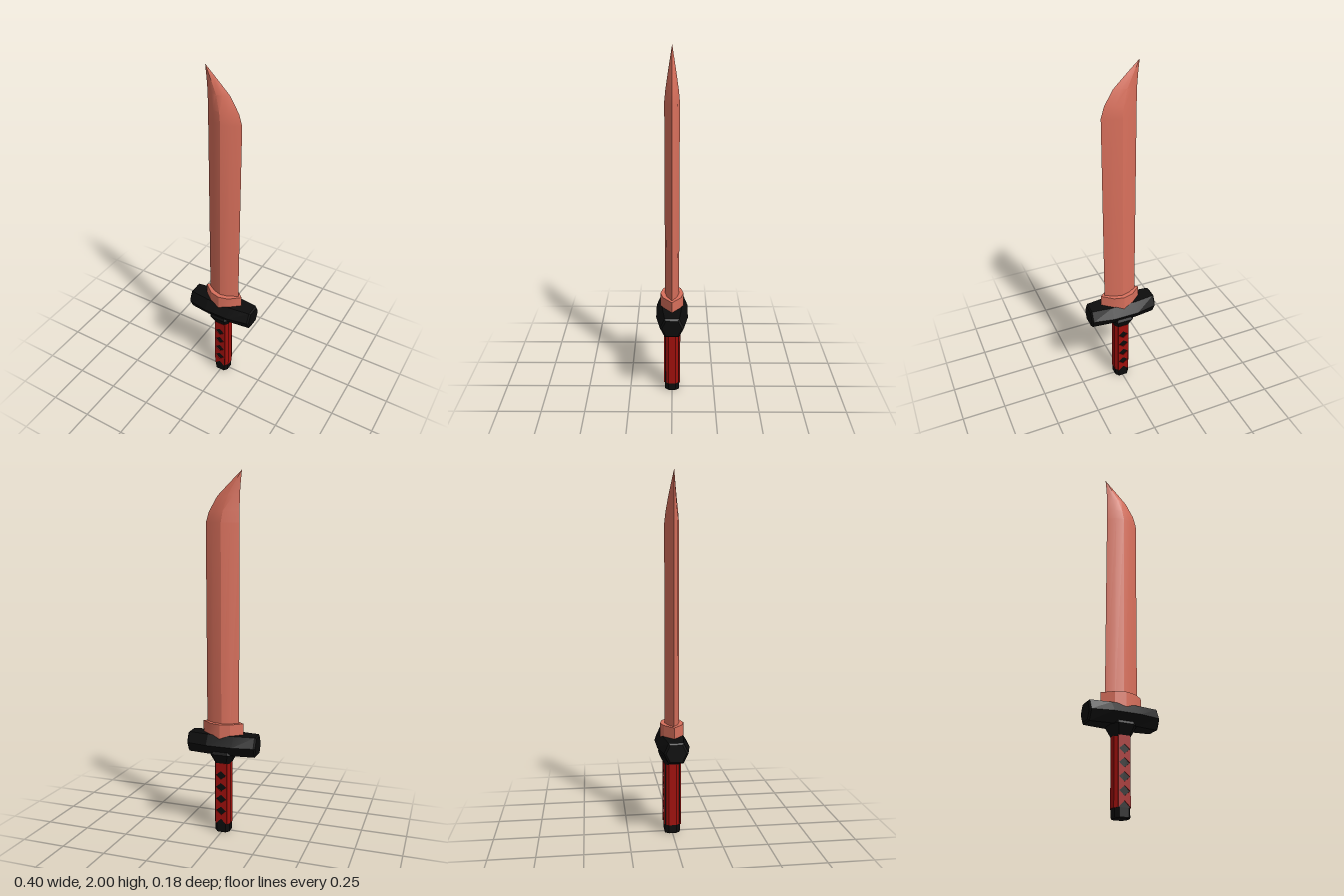
import * as THREE from 'three';
import { toCreasedNormals } from 'three/addons/utils/BufferGeometryUtils.js';

const steel = new THREE.MeshStandardMaterial({ color: 0xd9705c });
const black = new THREE.MeshStandardMaterial({ color: 0x0c0c0c });
const red = new THREE.MeshStandardMaterial({ color: 0xa0100c });

// Skin a list of convex rings (equal point counts) into a closed, outward-facing solid
function loft(rings, crease = 0.1) {
  const tris = [];
  const n = rings[0].length;
  for (let r = 0; r < rings.length - 1; r++) {
    for (let i = 0; i < n; i++) {
      const j = (i + 1) % n;
      const [a, b, c, d] = [rings[r][i], rings[r][j], rings[r + 1][j], rings[r + 1][i]];
      tris.push([a, b, c], [a, c, d]);
    }
  }
  const first = rings[0], last = rings[rings.length - 1];
  for (let i = 1; i < n - 1; i++) {
    tris.push([first[0], first[i + 1], first[i]], [last[0], last[i], last[i + 1]]);
  }
  const volume = tris.reduce((sum, [a, b, c]) => sum + a.dot(b.clone().cross(c)), 0);
  const points = tris.flatMap(([a, b, c]) => (volume < 0 ? [a, c, b] : [a, b, c]));
  const geometry = new THREE.BufferGeometry().setFromPoints(points);
  geometry.computeVertexNormals();
  return toCreasedNormals(geometry, crease);
}

// Mirror a half outline [x, z >= 0], running from one sharp edge to the other
function lens(half, y) {
  const back = half.slice(1, -1).reverse().map(([x, z]) => [x, -z]);
  return [...half, ...back].map(([x, z]) => new THREE.Vector3(x, y, z));
}

// Chamfered rectangle in the xz plane
function octagon(w, d, y) {
  const p = [[w, d * 0.5], [w * 0.62, d], [-w * 0.62, d], [-w, d * 0.5],
    [-w, -d * 0.5], [-w * 0.62, -d], [w * 0.62, -d], [w, -d * 0.5]];
  return p.map(([x, z]) => new THREE.Vector3(x, y, z));
}

export function createModel() {
  const group = new THREE.Group();
  const add = (name, geometry, material) => {
    const mesh = new THREE.Mesh(geometry, material);
    mesh.name = name;
    group.add(mesh);
    return mesh;
  };

  // Blade: [height, back edge x, cutting edge x, half thickness]
  const stations = [
    [0.56, -0.09, 0.098, 0.04], [1.73, -0.088, 0.103, 0.04], [1.79, -0.088, 0.085, 0.034],
    [1.87, -0.089, 0.037, 0.022], [1.93, -0.093, -0.025, 0.012], [2.0, -0.1, -0.0995, 0.0003],
  ];
  add('blade', loft(stations.map(([y, l, r, t]) => {
    const at = (u) => l + (r - l) * u;
    return lens([[l, 0], [at(0.24), t * 0.69], [at(0.48), t], [at(0.74), t * 0.72], [r, 0]], y);
  }), 0.45), steel);

  // Collar at the foot of the blade
  const collar = [[-0.115, 0], [-0.055, 0.051], [0.003, 0.066], [0.06, 0.051], [0.121, 0]];
  add('collar', loft([lens(collar, 0.55), lens(collar, 0.637)], 0.45), steel);

  // Guard: hexagonal bar, tapering to bevelled ends
  const guard = [[-0.2, 0.055, 0.85], [-0.192, 0.067, 1], [-0.075, 0.09, 1],
    [0.075, 0.09, 1], [0.192, 0.067, 1], [0.2, 0.055, 0.85]];
  const hex = [[1, 0], [0.6, 1], [-0.6, 1], [-1, 0], [-0.6, -1], [0.6, -1]];
  add('guard', loft(guard.map(([x, d, h]) =>
    hex.map(([z, y]) => new THREE.Vector3(x, 0.518 + y * h * 0.056, z * d)))), black);

  // Neck flaring from the grip into the guard
  add('neck', loft([octagon(0.044, 0.044, 0.405), octagon(0.074, 0.074, 0.465),
    octagon(0.06, 0.055, 0.5)]), black);

  // Grip core and pommel
  add('grip', loft([octagon(0.046, 0.041, 0.05), octagon(0.046, 0.041, 0.41)]), red);
  add('pommel', loft([octagon(0.04, 0.04, 0), octagon(0.043, 0.043, 0.006),
    octagon(0.043, 0.043, 0.055)]), black);

  // Wrapped grip faces: a red panel with diamond openings over a black strip
  const w = 0.033;
  const panel = new THREE.Shape([[-w, 0.05], [0, 0.082], [w, 0.05], [w, 0.41], [-w, 0.41]]
    .map(([x, y]) => new THREE.Vector2(x, y)));
  for (let i = 0; i < 4; i++) {
    const y = 0.13 + i * 0.07;
    panel.holes.push(new THREE.Path([[0, y - 0.025], [0.03, y], [0, y + 0.025], [-0.03, y]]
      .map(([px, py]) => new THREE.Vector2(px, py))));
  }
  const panelGeometry = new THREE.ExtrudeGeometry(panel, { depth: 0.006, bevelEnabled: false });
  for (const [side, turn] of [['front', 0], ['back', Math.PI]]) {
    const face = new THREE.Group();
    face.name = side + 'GripFace';
    face.rotation.y = turn;
    const wrap = new THREE.Mesh(panelGeometry, red);
    wrap.name = side + 'Wrap';
    wrap.position.z = 0.042;
    const strip = new THREE.Mesh(new THREE.BoxGeometry(0.064, 0.36, 0.006), black);
    strip.name = side + 'Strip';
    strip.position.set(0, 0.23, 0.0405);
    face.add(wrap, strip);
    group.add(face);
  }
  return group;
}
